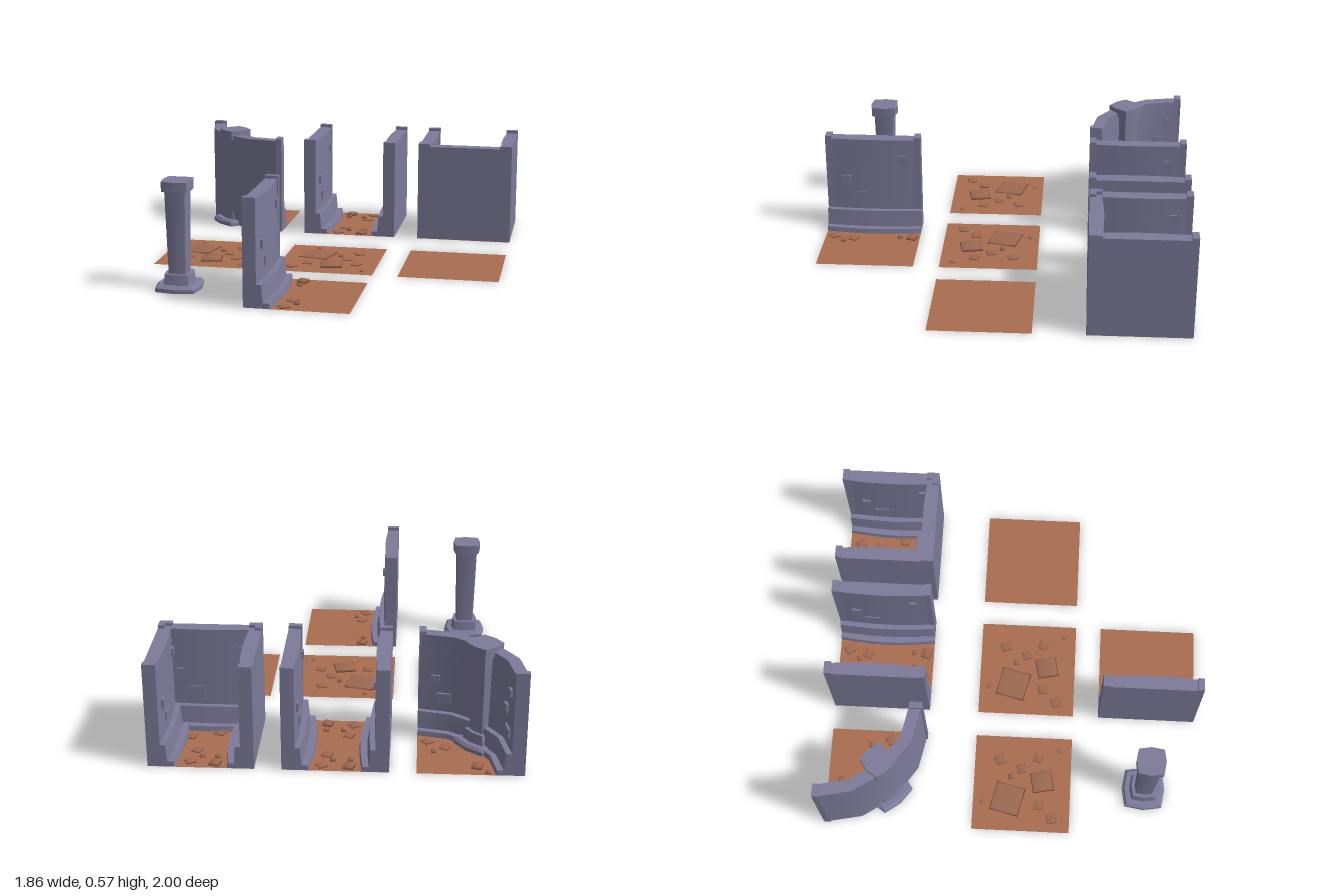
import * as THREE from 'three';
import { mergeVertices, toCreasedNormals } from 'three/addons/utils/BufferGeometryUtils.js';

const wallMat = new THREE.MeshStandardMaterial({ color: 0x7d7b9a });
wallMat.name = 'slate wall';
const floorMat = new THREE.MeshStandardMaterial({ color: 0xa96d50, side: THREE.DoubleSide });
floorMat.name = 'clay floor';
const rockMat = new THREE.MeshStandardMaterial({ color: 0x9c6951 });
rockMat.name = 'clay rock';

const H = 0.265; // half a tile

function add(parent, name, geo, mat, x = 0, y = 0, z = 0, ry = 0) {
  const m = new THREE.Mesh(geo, mat);
  m.name = name;
  m.position.set(x, y, z);
  m.rotation.y = ry;
  parent.add(m);
  return m;
}

function group(parent, name, x = 0, z = 0, ry = 0) {
  const g = new THREE.Group();
  g.name = name;
  g.position.set(x, 0, z);
  g.rotation.y = ry;
  parent.add(g);
  return g;
}

// Wall cross-section: depth from the outer face, height, inward bulge
const PROFILE = [
  [0, 0.001, 0], [0, 0.54, 0], [0.06, 0.54, 0.014], [0.064, 0.12, 0.014],
  [0.092, 0.12, 0.014], [0.1, 0.028, 0.016], [0.13, 0.028, 0.022], [0.134, 0.001, 0.022],
];

// Sweep the cross-section along stations {p: outer point, n: inward direction, b: bulge}
function wallGeometry(stations) {
  const rows = stations.map(({ p, n, b }) => PROFILE.map(([d, y, k]) => {
    const t = d + k * b;
    return [p[0] + n[0] * t, y, p[1] + n[1] * t];
  }));
  const pos = [];
  const tri = (a, b, c) => pos.push(...a, ...b, ...c);
  const N = PROFILE.length;
  for (let i = 0; i < rows.length - 1; i++) {
    for (let j = 0; j < N; j++) {
      const k = (j + 1) % N;
      const a = rows[i][j], b = rows[i][k], c = rows[i + 1][k], d = rows[i + 1][j];
      tri(a, c, b);
      tri(a, d, c);
    }
  }
  const first = rows[0], last = rows[rows.length - 1];
  for (let j = 1; j < N - 1; j++) {
    tri(first[0], first[j], first[j + 1]);
    tri(last[0], last[j + 1], last[j]);
  }
  const g = new THREE.BufferGeometry();
  g.setAttribute('position', new THREE.Float32BufferAttribute(pos, 3));
  return toCreasedNormals(g, 0.5);
}

// Straight wall on the -x edge of a tile, with end posts and raised bricks
function straightWall(parent, ry = 0) {
  const g = group(parent, 'wall', 0, 0, ry);
  const stations = [];
  for (let i = 0; i <= 6; i++) {
    stations.push({ p: [-H, -H + (2 * H * i) / 6], n: [1, 0], b: Math.sin((Math.PI * i) / 6) });
  }
  add(g, 'wallPanel', wallGeometry(stations), wallMat);
  for (const s of [-1, 1]) {
    add(g, 'wallPost', new THREE.BoxGeometry(0.067, 0.554, 0.035), wallMat, -H + 0.0335, 0.278, s * (H - 0.0175));
  }
  for (const [z, y, w, h] of [[-0.165, 0.43, 0.035, 0.04], [0.155, 0.3, 0.045, 0.045], [0.075, 0.2, 0.08, 0.05]]) {
    add(g, 'raisedBrick', new THREE.BoxGeometry(0.03, h, w), wallMat, -H + 0.066, y, z);
  }
}

// Low rocks: [x, z, size, turn, height]; shared normals give soft slabs
function rocks(parent, list) {
  for (const [x, z, size, turn, h] of list) {
    let geo = new THREE.CylinderGeometry(size * 0.64, size * 0.707, h, 4, 1);
    geo.rotateY(Math.PI / 4);
    geo.deleteAttribute('normal');
    geo.deleteAttribute('uv');
    geo = mergeVertices(geo, 1e-5);
    geo.computeVertexNormals();
    add(parent, 'rock', geo, rockMat, x, h / 2, z, turn);
  }
}

const WALL_ROCKS = [
  [-0.066, -0.222, 0.052, -0.25, 0.014], [-0.071, -0.154, 0.026, -0.15, 0.011],
  [-0.05, 0.105, 0.05, -0.4, 0.006], [-0.018, 0.157, 0.026, 0.05, 0.011],
  [-0.071, 0.215, 0.05, 0.6, 0.007],
];
const FLOOR_ROCKS = [
  [-0.09, -0.077, 0.165, -0.25, 0.007], [0.016, 0.108, 0.115, 0.2, 0.012],
  [0.132, -0.129, 0.052, 0.4, 0.006], [0.037, -0.066, 0.026, 0, 0.01],
  [0.084, -0.008, 0.048, 0.3, 0.006], [0.148, 0.082, 0.048, -0.3, 0.006],
  [-0.116, 0.092, 0.05, 0.05, 0.006], [-0.19, 0.166, 0.052, 0.3, 0.006],
  [0.2, 0.198, 0.024, 0.2, 0.005], [-0.11, -0.214, 0.024, 0.3, 0.005],
];

function floor(parent, x0 = -H) {
  const geo = new THREE.PlaneGeometry(H - x0, 2 * H).rotateX(-Math.PI / 2);
  add(parent, 'floor', geo, floorMat, (x0 + H) / 2, 0, 0);
}

// Square pillar with slightly bowed sides: [bottom half-width, top half-width, y0, y1]
function pillar(parent, x, z, ry = 0) {
  const g = group(parent, 'pillar', x, z, ry);
  const levels = [
    ['pillarPlinth', 0.1, 0.1, 0, 0.02], ['pillarPlinthBevel', 0.1, 0.088, 0.02, 0.032],
    ['pillarBase', 0.066, 0.06, 0.032, 0.085], ['pillarShaft', 0.044, 0.053, 0.085, 0.515],
    ['pillarCapital', 0.066, 0.066, 0.515, 0.566],
  ];
  for (const [name, b, t, y0, y1] of levels) {
    const geo = new THREE.CylinderGeometry(t * Math.SQRT2, b * Math.SQRT2, y1 - y0, 8);
    const p = geo.attributes.position;
    for (let i = 0; i < p.count; i++) {
      if (Math.abs(p.getX(i) * p.getZ(i)) < 1e-6) p.setXYZ(i, p.getX(i) * 0.82, p.getY(i), p.getZ(i) * 0.82);
    }
    add(g, name, toCreasedNormals(geo, 0.5), wallMat, 0, (y0 + y1) / 2, 0);
  }
}

// Quarter-round tile with a pillar in the bend
function cornerTile(parent, x, z) {
  const g = group(parent, 'cornerTile', x, z);
  const R = 2 * H, stations = [];
  const at = (t, r) => [H - r * Math.cos(t), -H + r * Math.sin(t)];
  for (let i = 0; i <= 4; i++) {
    const t = (i * Math.PI) / 8;
    stations.push({ p: at(t, R), n: [Math.cos(t), -Math.sin(t)], b: 0.3 });
  }
  add(g, 'curvedWall', wallGeometry(stations), wallMat);
  add(g, 'wallPost', new THREE.BoxGeometry(0.067, 0.554, 0.035), wallMat, -H + 0.0335, 0.278, -H + 0.0175);
  add(g, 'wallPost', new THREE.BoxGeometry(0.035, 0.554, 0.067), wallMat, H - 0.0175, 0.278, H - 0.0335);
  for (const [t, y, w, h] of [[0.16, 0.42, 0.04, 0.04], [0.2, 0.2, 0.075, 0.05], [0.29, 0.31, 0.045, 0.045], [1.38, 0.3, 0.045, 0.045], [1.28, 0.2, 0.07, 0.05]]) {
    const seg = t < 0.8 ? Math.PI / 16 : (7 * Math.PI) / 16;
    const [bx, bz] = at(t, R - 0.072);
    add(g, 'raisedBrick', new THREE.BoxGeometry(0.03, h, w), wallMat, bx, y, bz, seg);
  }
  const shape = new THREE.Shape();
  shape.moveTo(H, H);
  for (let i = 0; i <= 4; i++) {
    const [px, pz] = at((i * Math.PI) / 8, 0.4);
    shape.lineTo(px, -pz);
  }
  add(g, 'floor', new THREE.ShapeGeometry(shape).rotateX(-Math.PI / 2), floorMat);
  const [cx, cz] = at(Math.PI / 4, 0.46);
  pillar(g, cx, cz, Math.PI / 4);
  rocks(g, [
    [-0.034, -0.186, 0.052, -0.25, 0.014], [-0.087, -0.244, 0.026, -0.3, 0.011],
    [0.182, -0.043, 0.026, 0, 0.011], [0.124, 0.004, 0.05, -0.3, 0.006], [0.214, 0.062, 0.052, 0.6, 0.007],
  ]);
}

export function createModel() {
  const model = new THREE.Group();
  model.name = 'dungeonTiles';
  const X = 0.665, Z = 0.735;

  cornerTile(model, -X, -Z);

  // Corridor: the same wall and rocks on both sides
  const corridor = group(model, 'corridorTile', 0, -Z);
  floor(corridor);
  for (const ry of [0, Math.PI]) {
    straightWall(corridor, ry);
    rocks(group(corridor, 'rocks', 0, 0, ry), WALL_ROCKS);
  }

  // Dead end: walls on three sides
  const end = group(model, 'deadEndTile', X, -Z);
  floor(end);
  for (const ry of [0, Math.PI / 2, Math.PI]) straightWall(end, ry);
  rocks(end, [
    ...WALL_ROCKS.slice(0, 2), [0.008, -0.154, 0.026, 0, 0.011], [0.061, -0.205, 0.05, 0.6, 0.007],
    [0.045, -0.09, 0.05, -0.3, 0.006], [0.093, 0.05, 0.05, -0.2, 0.007], [-0.05, 0.095, 0.05, -0.4, 0.006],
  ]);

  // Open floor tiles
  for (const x of [-X, 0, X]) {
    const tile = group(model, 'floorTile', x, 0.065);
    floor(tile);
    if (x < X) rocks(tile, FLOOR_ROCKS);
  }

  // Single-wall tile and free-standing pillar
  const side = group(model, 'sideWallTile', 0, Z);
  floor(side, -H + 0.13);
  straightWall(side);
  rocks(side, WALL_ROCKS);
  pillar(model, -X, 0.728);

  return model;
}
